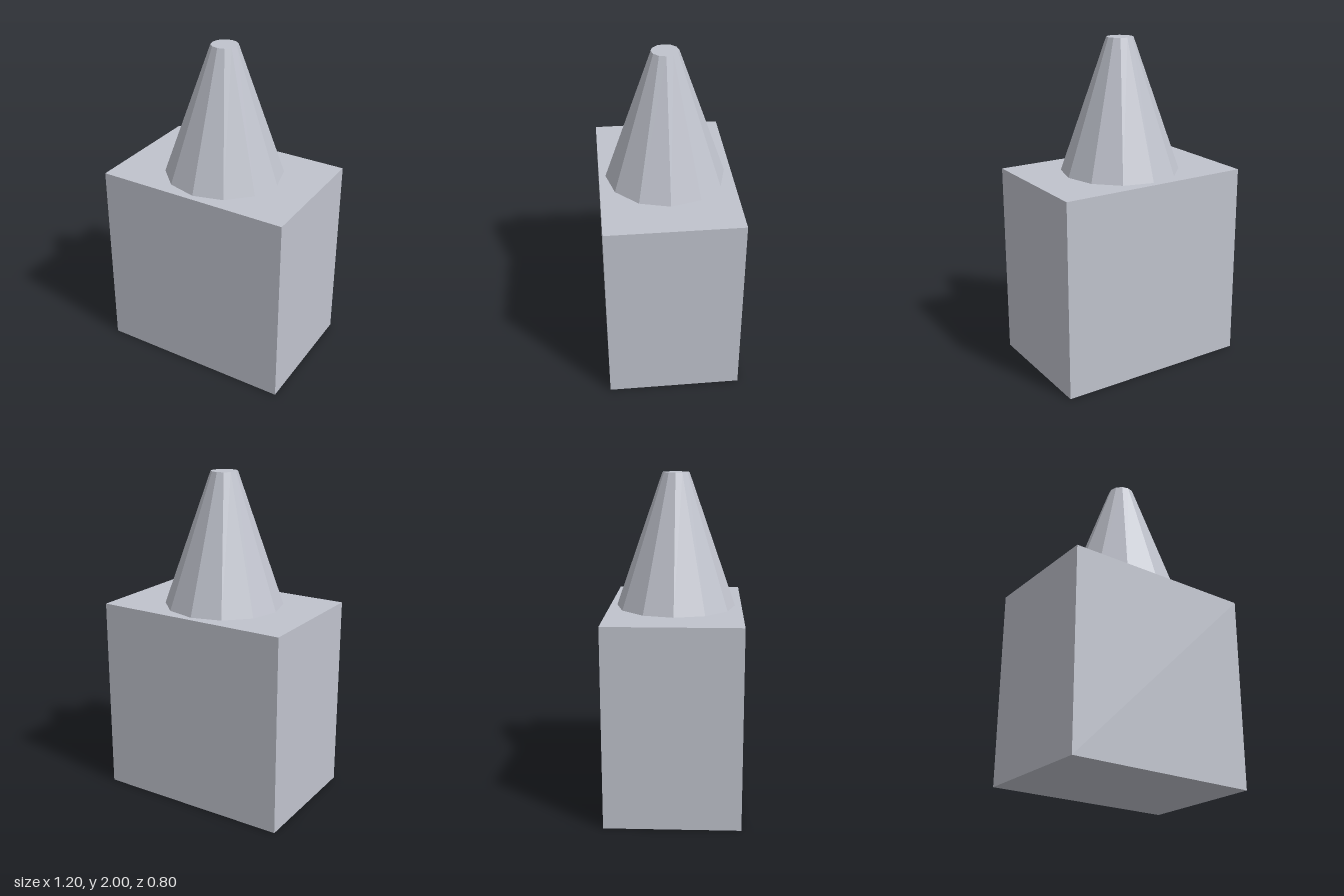
import * as THREE from 'three';

export function createModel() {
  const model = new THREE.Group();
  const paleGrey = new THREE.MeshStandardMaterial({ color: 0xc0c3cd, flatShading: true });
  paleGrey.name = 'paleGrey';

  const add = (name, geometry, y) => {
    const mesh = new THREE.Mesh(geometry, paleGrey);
    mesh.name = name;
    mesh.position.y = y;
    model.add(mesh);
  };

  // Rectangular block standing on the ground
  add('baseBlock', new THREE.BoxGeometry(1.2, 1.2, 0.8), 0.6);

  // Twelve-sided tapered spire with a flat tip
  add('taperedSpire', new THREE.CylinderGeometry(0.08, 0.36, 0.8, 12), 1.6);

  return model;
}
